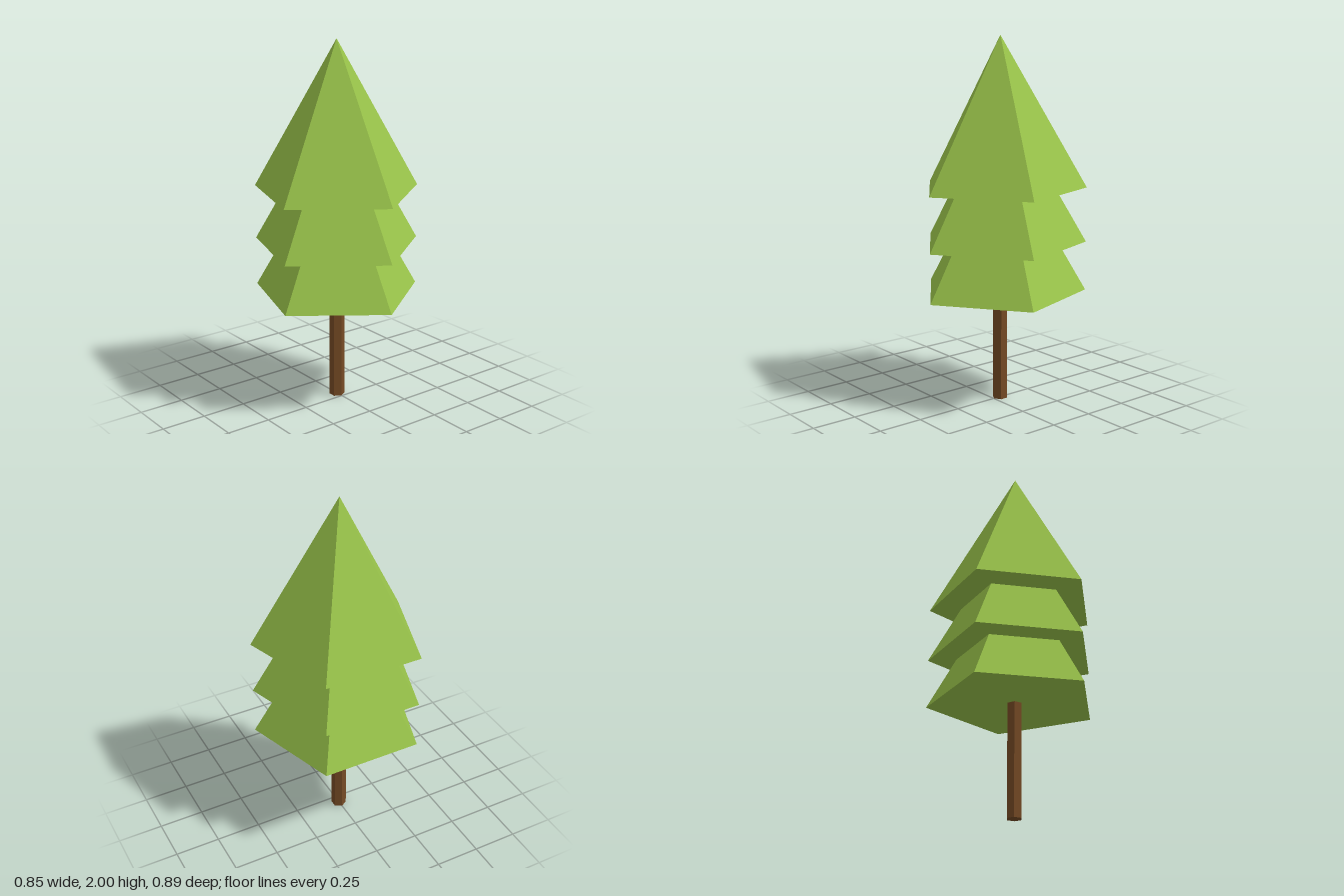
import * as THREE from 'three';

const AXIS_X = -0.045; // the trunk axis sits slightly off the bounding-box centre

export function createModel() {
  const tree = new THREE.Group();
  tree.name = 'pineTree';

  const leaf = new THREE.MeshStandardMaterial({ color: 0x98c24a, flatShading: true });
  const bark = new THREE.MeshStandardMaterial({ color: 0x754a24, flatShading: true });

  // Upright tapered prism with one corner pointing to +x
  function addPrism(name, material, rTop, rBottom, height, sides, baseY) {
    const geometry = new THREE.CylinderGeometry(rTop, rBottom, height, sides, 1, false, Math.PI / 2);
    const mesh = new THREE.Mesh(geometry, material);
    mesh.name = name;
    mesh.position.set(AXIS_X, baseY + height / 2, 0);
    tree.add(mesh);
  }

  // Six-sided trunk, ending just inside the lowest tier
  addPrism('trunk', bark, 0.042, 0.042, 0.64, 6, 0);

  // Three equal five-sided foliage tiers, each nested in the one above
  const tiers = [['lowerFoliage', 0.615], ['middleFoliage', 0.885], ['upperFoliage', 1.185]];
  for (const [name, baseY] of tiers) addPrism(name, leaf, 0, 0.47, 0.815, 5, baseY);

  return tree;
}
